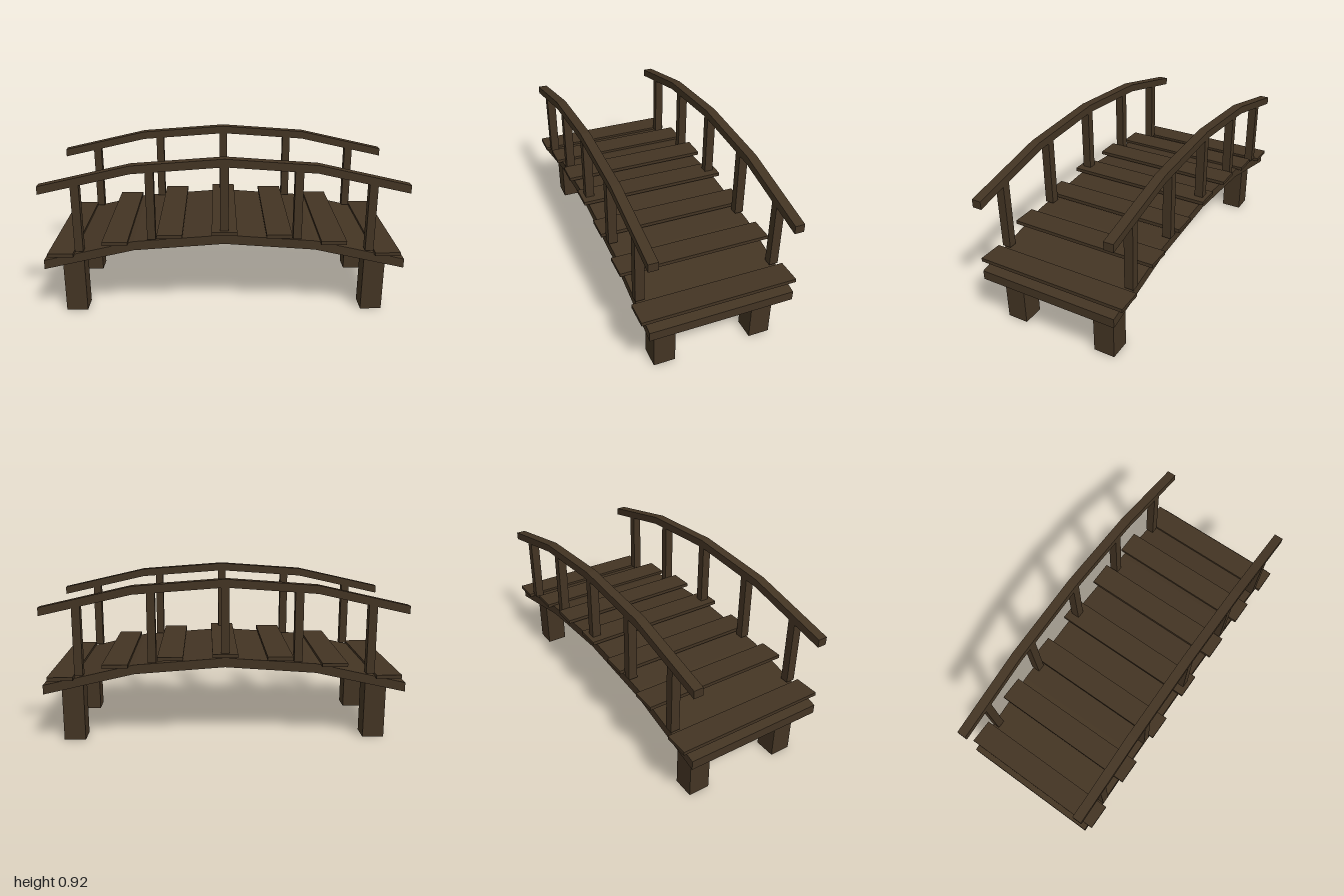
import * as THREE from 'three';

export function createModel() {
  const group = new THREE.Group();
  const wood = new THREE.MeshStandardMaterial({ color: 0x433423 });
  wood.name = 'darkWood';

  function add(name, geometry, x, y, z) {
    const mesh = new THREE.Mesh(geometry, wood);
    mesh.name = name;
    mesh.position.set(x, y, z);
    group.add(mesh);
    return mesh;
  }
  const box = (name, w, h, d, x, y, z) => add(name, new THREE.BoxGeometry(w, h, d), x, y, z);

  // Faceted arched beam: top edge through the profile, constant thickness
  function arch(name, profile, thickness, depth, z) {
    const top = profile.map(([x, y]) => new THREE.Vector2(x, y));
    const bottom = profile.map(([x, y]) => new THREE.Vector2(x, y - thickness)).reverse();
    const shape = new THREE.Shape([...bottom, ...top]);
    const geometry = new THREE.ExtrudeGeometry(shape, { depth, bevelEnabled: false });
    geometry.translate(0, 0, -depth / 2);
    add(name, geometry, 0, 0, z);
  }

  // Arched deck
  arch('deck', [[-1, 0.34], [-0.5, 0.452], [0, 0.488], [0.5, 0.452], [1, 0.34]], 0.052, 0.8, 0);

  // Flat cross planks lying over the deck
  const plankHeights = [0.505, 0.49, 0.45, 0.382];
  for (let i = -3; i <= 3; i++) {
    box('crossPlank', 0.14, 0.02, 0.86, i * 0.3, plankHeights[Math.abs(i)], 0);
  }

  // Handrails and posts on both sides
  const postSpans = [[0.49, 0.9], [0.465, 0.862], [0.395, 0.81]];
  for (const side of [-1, 1]) {
    arch('handrail', [[-1, 0.772], [-0.5, 0.885], [0, 0.921], [0.5, 0.885], [1, 0.772]], 0.045, 0.053, side * 0.382);
    for (let i = -2; i <= 2; i++) {
      const [low, high] = postSpans[Math.abs(i)];
      box('railPost', 0.046, high - low, 0.05, i * 0.4, (low + high) / 2, side * 0.381);
    }
    // Square legs
    for (const end of [-1, 1]) {
      box('leg', 0.12, 0.33, 0.12, end * 0.85, 0.165, side * 0.28);
    }
  }
  return group;
}
